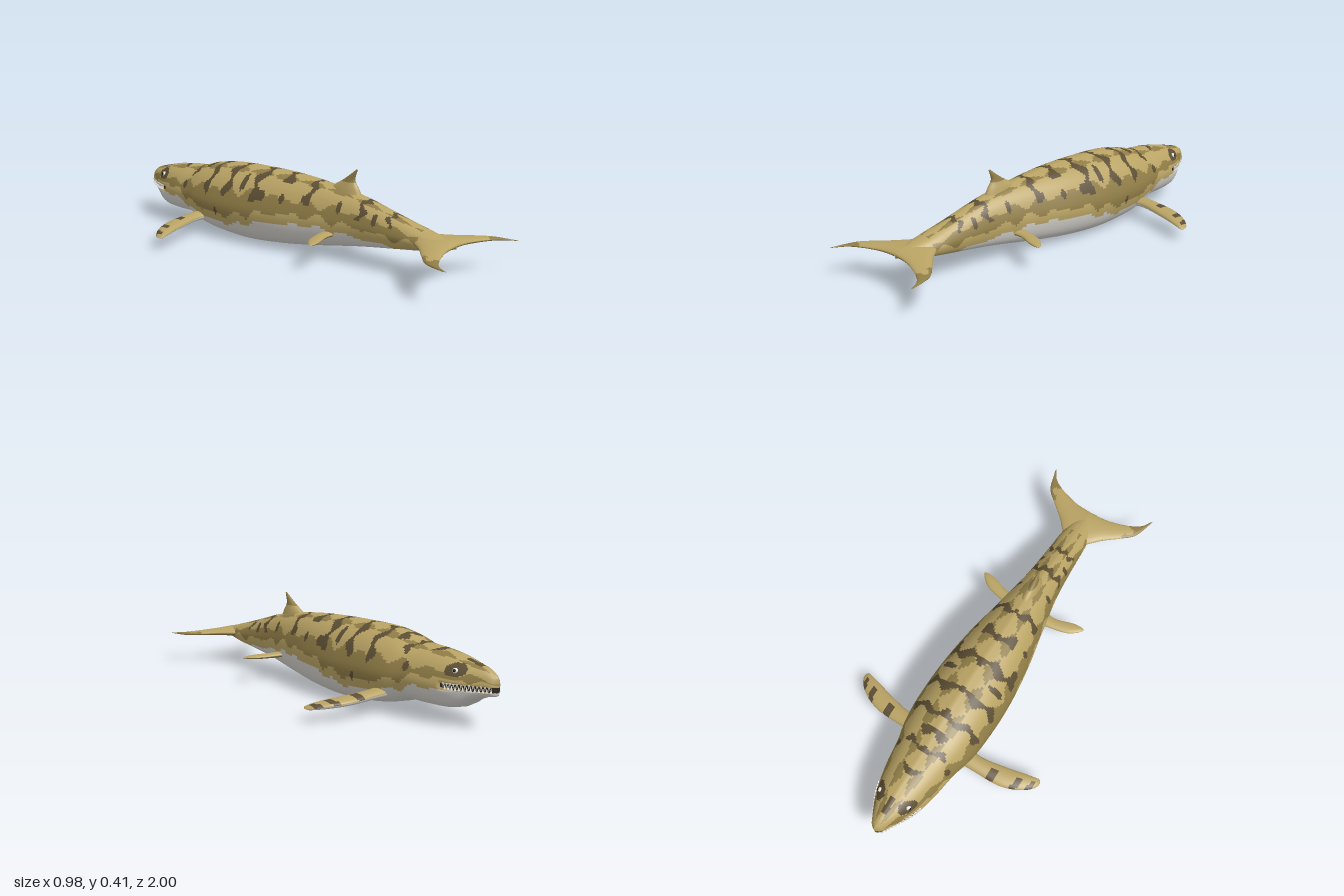
import * as THREE from 'three';
import { mergeGeometries } from 'three/addons/utils/BufferGeometryUtils.js';

const mat = (name, color) => new THREE.MeshStandardMaterial({ name, color });

// Smooth interpolation of table rows by their first column
function sample(rows, k) {
  let i = 0;
  while (i < rows.length - 2 && k > rows[i + 1][0]) i++;
  const a = rows[i], b = rows[i + 1], p = rows[i - 1] || a, n = rows[i + 2] || b;
  const h = b[0] - a[0], t = Math.min(1, Math.max(0, (k - a[0]) / h)), t2 = t * t, t3 = t2 * t;
  return a.map((v, c) => {
    const m0 = (b[c] - p[c]) / (b[0] - p[0]) * h, m1 = (n[c] - a[c]) / (n[0] - a[0]) * h;
    return (2 * t3 - 3 * t2 + 1) * v + (t3 - 2 * t2 + t) * m0 + (3 * t2 - 2 * t3) * b[c] + (t3 - t2) * m1;
  });
}

// Closed rings joined into a skin; paint() picks the material of every face
function loft(name, N, M, point, paint, materials, flip = false) {
  const pos = [], faces = materials.map(() => []);
  for (let i = 0; i <= N; i++) for (let j = 0; j < M; j++) pos.push(...point(i / N, j / M));
  for (let i = 0; i < N; i++) for (let j = 0; j < M; j++) {
    const a = i * M + j, b = i * M + (j + 1) % M, c = b + M, d = a + M;
    const m = paint(...point((i + 0.5) / N, (j + 0.5) / M), (j + 0.5) / M);
    faces[m].push(...(flip ? [a, d, c, a, c, b] : [a, b, c, a, c, d]));
  }
  const g = new THREE.BufferGeometry();
  g.setAttribute('position', new THREE.Float32BufferAttribute(pos, 3));
  g.setIndex(faces.flat());
  let start = 0;
  faces.forEach((f, m) => { g.addGroup(start, f.length, m); start += f.length; });
  g.computeVertexNormals();
  const mesh = new THREE.Mesh(g, materials);
  mesh.name = name;
  return mesh;
}

// Body stations: z, half width, bottom, top
const BODY = [
  [-1, 0, 0.148, 0.212], [-0.985, 0.026, 0.14, 0.225], [-0.95, 0.047, 0.133, 0.245],
  [-0.9, 0.075, 0.11, 0.258], [-0.85, 0.1, 0.078, 0.27], [-0.8, 0.116, 0.065, 0.282],
  [-0.7, 0.137, 0.063, 0.295], [-0.6, 0.152, 0.062, 0.302], [-0.52, 0.173, 0.035, 0.325],
  [-0.4, 0.187, 0.014, 0.345], [-0.2, 0.187, 0.002, 0.35], [0, 0.165, 0.014, 0.346],
  [0.2, 0.126, 0.04, 0.328], [0.4, 0.091, 0.073, 0.295], [0.6, 0.075, 0.102, 0.24],
  [0.7, 0.069, 0.117, 0.213], [0.8, 0.045, 0.135, 0.187], [0.87, 0, 0.15, 0.165],
];
// Half cross-section from keel to back
const SECTION = new THREE.CatmullRomCurve3([[0, 0], [0.68, 0.07], [0.91, 0.22], [1, 0.45],
  [0.9, 0.64], [0.7, 0.82], [0.38, 0.95], [0, 1]].map(([u, v]) => new THREE.Vector3(u, v, 0)));
const inMouth = (z, y) => z < -0.79 && Math.abs(y - 0.169) < 0.01;

function bodyPoint(k, j) {
  const z = -1 + 1.87 * k, [, w, bot, top] = sample(BODY, z);
  const s = SECTION.getPoint(1 - Math.abs(1 - 2 * j)), y = bot + (top - bot) * s.y;
  return [Math.sign(0.5 - j) * Math.max(0, s.x) * w * (inMouth(z, y) ? 0.93 : 1), y, z];
}
// Half width of the body at a height
function surfaceX(z, y) {
  const [, w, bot, top] = sample(BODY, z);
  for (let t = 0.3; t < 1; t += 0.005) {
    const s = SECTION.getPoint(t);
    if (bot + (top - bot) * s.y >= y) return s.x * w;
  }
  return 0;
}

// Upper edge of the pale belly: z, y
const BELLY = [[-1, 0.157], [-0.8, 0.155], [-0.7, 0.15], [-0.6, 0.125], [-0.5, 0.1], [-0.28, 0.085],
  [-0.07, 0.125], [0.2, 0.145], [0.4, 0.13], [0.57, 0.115], [0.72, 0.108]];
// Dark bands: z, half width, how far down they reach
const BANDS = [[-0.7, 0.014, 0.88], [-0.59, 0.014, 0.72], [-0.51, 0.02, 0.86], [-0.43, 0.019, 0.58],
  [-0.3, 0.022, 0.55], [-0.13, 0.026, 0.54], [0.015, 0.028, 0.8], [0.16, 0.02, 0.6],
  [0.43, 0.02, 0.56], [0.57, 0.014, 0.6]];
// Flank spots: z, y, radius along z, radius along y
const SPOTS = [[0.03, 0.25, 0.013, 0.018], [-0.1, 0.25, 0.035, 0.024], [-0.35, 0.14, 0.01, 0.018],
  [-0.21, 0.29, 0.016, 0.035], [-0.43, 0.24, 0.016, 0.03], [-0.62, 0.22, 0.014, 0.02],
  [0.32, 0.25, 0.013, 0.025], [0.5, 0.22, 0.013, 0.025], [-0.84, 0.233, 0.045, 0.026]];
const TAN = 0, OLIVE = 1, DARK = 2, PALE = 3, MOUTH = 4;

function paintBody(x, y, z, j) {
  const t = 1 - Math.abs(1 - 2 * j);
  const wave = Math.abs(Math.sin(z * 21)) + 0.3 * Math.sin(z * 57 + 1);
  const belly = sample(BELLY, z)[1];
  if (inMouth(z, y)) return MOUTH;
  if (z < 0.7 && y < belly + (z > -0.75 ? 0.016 * (wave - 0.5) : 0)) return PALE;
  if (Math.abs(x) < 0.014 && Math.abs(z + 0.88) < 0.04) return DARK;
  const wob = 0.012 * Math.sin(t * 24 + z * 9);
  if (BANDS.some(([c, h, low]) => t > low && Math.abs(z - c - wob) < h * (0.75 + 0.35 * Math.sin(t * 31 + c * 40)))) return DARK;
  if (SPOTS.some(([c, h, rz, ry]) => ((z - c) / rz) ** 2 + ((y - h) / ry) ** 2 < 1)) return DARK;
  if (z > 0.72) return t > 0.55 ? TAN : OLIVE;
  if (y < belly + 0.03 + 0.025 * wave && t < 0.55) return TAN;
  if (t < 0.6 + 0.07 * (1 - wave)) return OLIVE;
  if (t < 0.82 + 0.03 * wave) return TAN;
  return t > 0.85 + 0.09 * Math.abs(Math.cos(z * 21)) ? TAN : OLIVE;
}

// Fin rows: span, leading z, trailing z, height, half thickness
const PECTORAL = [[0.12, -0.53, -0.44, 0.09, 0.024], [0.2, -0.528, -0.452, 0.087, 0.02],
  [0.33, -0.522, -0.428, 0.078, 0.018], [0.4, -0.5, -0.41, 0.073, 0.016],
  [0.45, -0.47, -0.398, 0.067, 0.012], [0.48, -0.44, -0.393, 0.061, 0.007], [0.49, -0.42, -0.405, 0.058, 0.001]];
const PELVIC = [[0.06, 0.235, 0.31, 0.125, 0.015], [0.14, 0.248, 0.303, 0.124, 0.012],
  [0.22, 0.268, 0.328, 0.123, 0.01], [0.26, 0.295, 0.333, 0.122, 0.007], [0.282, 0.32, 0.33, 0.121, 0.001]];
const FLUKE = [[0, 0.66, 0.87, 0.163, 0.024], [0.07, 0.71, 0.874, 0.161, 0.019], [0.12, 0.765, 0.885, 0.159, 0.015],
  [0.2, 0.835, 0.915, 0.155, 0.01], [0.25, 0.89, 0.95, 0.152, 0.006], [0.28, 0.988, 1, 0.15, 0.001]];
const DORSAL = [[0.27, 0.19, 0.39, 0, 0.036], [0.32, 0.222, 0.368, 0, 0.026], [0.36, 0.285, 0.345, 0, 0.014],
  [0.395, 0.332, 0.353, 0, 0.006], [0.41, 0.35, 0.36, 0, 0.001]];

function fin(name, rows, place, paint, materials, flip) {
  const first = rows[0][0], last = rows[rows.length - 1][0];
  return loft(name, 40, 20, (k, j) => {
    const [s, lead, trail, h, t] = sample(rows, first + (last - first) * k), a = j * Math.PI * 2;
    return place(s, h + Math.sin(a) * t, (lead + trail) / 2 + Math.cos(a) * (trail - lead) / 2);
  }, paint, materials, flip);
}

export function createModel() {
  const group = new THREE.Group();
  const tan = mat('tan skin', 0xb9a364), olive = mat('olive skin', 0x8f7c46), dark = mat('dark stripe', 0x5c4e34);
  const pale = mat('pale belly', 0xd2d0ca), mouth = mat('mouth', 0x2e2620), white = mat('tooth white', 0xf0eee6);
  const black = mat('pupil', 0x15130f);
  const skin = [tan, olive, dark, pale, mouth];

  group.add(loft('body', 260, 80, bodyPoint, paintBody, skin));

  // Paired fins and tail flukes
  const paintPectoral = (x, y, z, j) => {
    const s = Math.abs(x);
    if (j > 0.5) return PALE;
    return [[0.29, 0.018], [0.4, 0.014], [0.455, 0.01]].some(([c, h]) => Math.abs(s - c - 0.15 * (z + 0.47)) < h) && j > 0.2 ? DARK : TAN;
  };
  const paintFluke = (x, y, z, j) => (j > 0.5 || Math.abs(x) > 0.21 + 0.02 * Math.sin(z * 80) ? OLIVE : TAN);
  const paintPelvic = (x, y, z, j) => (j > 0.5 ? OLIVE : TAN);
  for (const [side, s] of [['left', 1], ['right', -1]]) {
    const place = (span, y, z) => [s * span, y, z];
    group.add(fin(side + 'PectoralFin', PECTORAL, place, paintPectoral, skin, s > 0));
    group.add(fin(side + 'PelvicFin', PELVIC, place, paintPelvic, skin, s > 0));
    group.add(fin(side + 'TailFluke', FLUKE, place, paintFluke, skin, s > 0));

    // Eye with pupil
    const x = surfaceX(-0.84, 0.23);
    [['Eye', white, 0.012, 0], ['Pupil', black, 0.007, 0.007]].forEach(([n, m, r, out]) => {
      const ball = new THREE.Mesh(new THREE.SphereGeometry(r, 14, 10), m);
      ball.name = side + n;
      ball.position.set(s * (x - 0.003 + out), 0.23 + out * 0.3, -0.84 - out * 0.3);
      group.add(ball);
    });
  }

  // Back fin
  group.add(fin('dorsalFin', DORSAL, (y, x, z) => [x, y, z], (x, y) => (y > 0.35 ? OLIVE : TAN), skin, false));

  // Interlocking teeth along both jaws
  const teeth = [];
  for (const s of [1, -1]) for (let i = 0; i < 26; i++) {
    const z = -0.81 - i * 0.0069, up = i % 2;
    const cone = new THREE.ConeGeometry(0.0065, 0.02, 4);
    if (!up) cone.rotateX(Math.PI);
    cone.translate(s * (surfaceX(z, 0.169) - 0.002), up ? 0.167 : 0.172, z);
    teeth.push(cone);
  }
  const teethMesh = new THREE.Mesh(mergeGeometries(teeth), white);
  teethMesh.name = 'teeth';
  group.add(teethMesh);
  return group;
}
